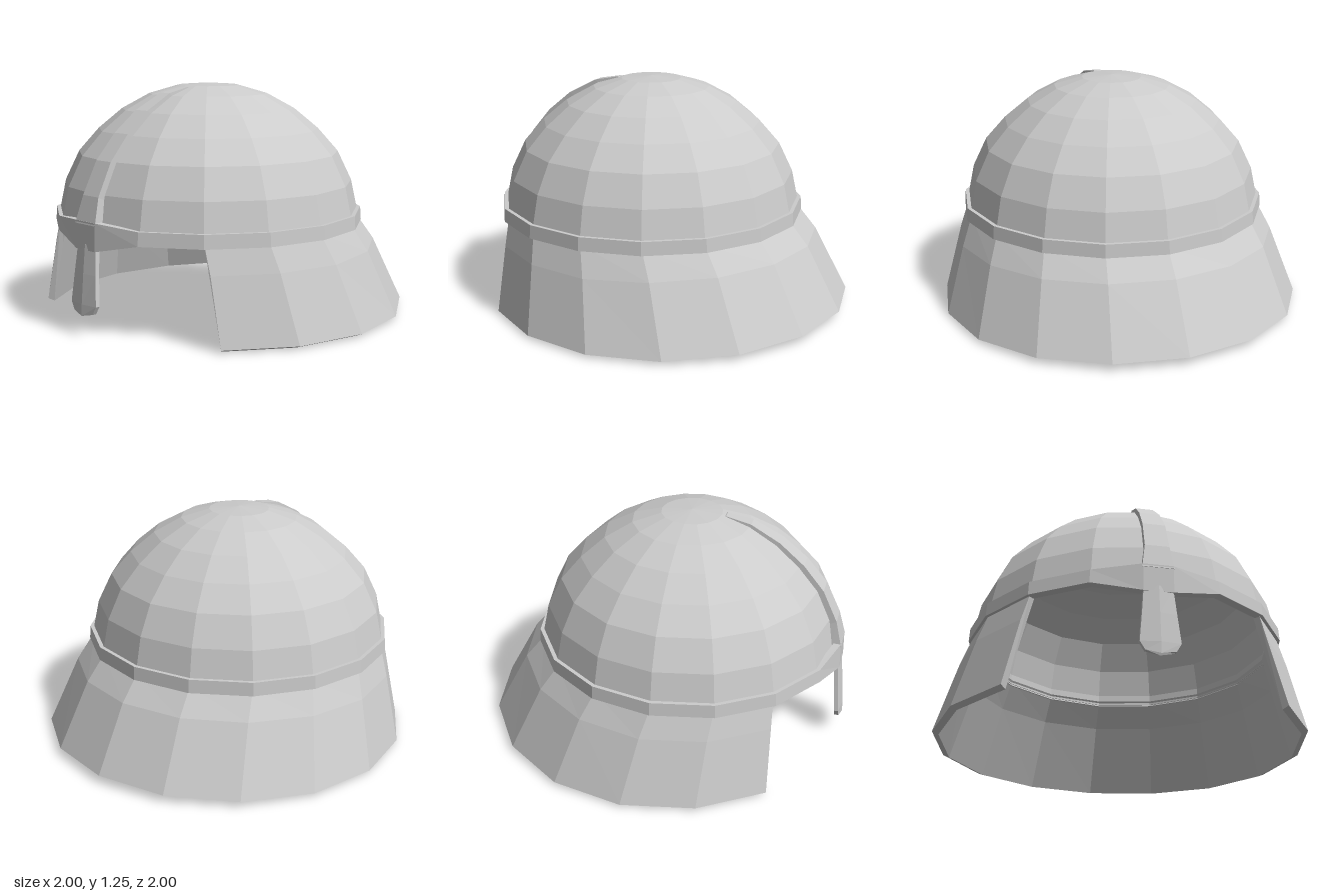
import * as THREE from 'three';

const DOME_Z = 0.115;
const steel = new THREE.MeshStandardMaterial({ color: 0xcccccc, flatShading: true, side: THREE.DoubleSide });

// Skins a row of equal cross-section loops; an open row gets end caps.
function sweep(sections, closed = false) {
  const pos = [];
  const n = sections[0].length;
  const tri = (...pts) => pts.forEach((p) => pos.push(...p));
  const last = closed ? sections.length : sections.length - 1;
  for (let i = 0; i < last; i++) {
    const s = sections[i];
    const t = sections[(i + 1) % sections.length];
    for (let j = 0; j < n; j++) {
      const k = (j + 1) % n;
      tri(s[j], s[k], t[k]);
      tri(s[j], t[k], t[j]);
    }
  }
  if (!closed) {
    const s = sections[0];
    const t = sections[sections.length - 1];
    for (let j = 1; j < n - 1; j++) {
      tri(s[0], s[j + 1], s[j]);
      tri(t[0], t[j], t[j + 1]);
    }
  }
  const g = new THREE.BufferGeometry();
  g.setAttribute('position', new THREE.Float32BufferAttribute(pos, 3));
  g.computeVertexNormals();
  return g;
}

// Point on a circle around the vertical axis; angle 0 faces the front.
const polar = (r, y, a, cz = DOME_Z) => [r * Math.sin(a), y, cz + r * Math.cos(a)];

// Dome outline, from the rim to the crown: radius, height
const OUTLINE = [
  [0.82, 0.5], [0.82, 0.56], [0.787, 0.715], [0.71, 0.875], [0.6, 1.0],
  [0.47, 1.108], [0.32, 1.19], [0.165, 1.235], [0, 1.247],
];

function domeGeometry() {
  const outer = OUTLINE.map(([r, y]) => new THREE.Vector2(r, y));
  const inner = OUTLINE.map(([r, y]) => new THREE.Vector2(r * 0.965, 0.5 + (y - 0.5) * 0.965)).reverse();
  const g = new THREE.LatheGeometry([...outer, ...inner, outer[0].clone()], 16);
  g.translate(0, 0, DOME_Z);
  return g;
}

// Brow band: a 16-sided ring that grows taller where it meets the nose guard
function bandGeometry() {
  const centre = (x) => [
    [x, 0.585, 0.965], [x, 0.44, 0.968], [x, 0.44, 0.925], [x, 0.585, 0.925],
  ];
  const sections = [centre(-0.075), centre(0.075)];
  for (let i = 1; i < 16; i++) {
    const a = (i * Math.PI) / 8;
    sections.push([
      polar(0.84, 0.565, a), polar(0.845, 0.493, a), polar(0.795, 0.493, a), polar(0.805, 0.565, a),
    ]);
  }
  return sweep(sections, true);
}

// Flared guard around the sides and back, open at the front
function neckGuardGeometry() {
  const sections = [];
  for (let i = 2; i <= 14; i++) {
    const a = (i * Math.PI) / 8;
    const back = Math.max(0, -Math.cos(a));
    const midY = 0.365 + 0.025 * back;
    const lowY = 0.015 + 0.03 * back * back;
    sections.push([
      polar(0.82, 0.52, a),
      polar(0.885, midY, a, 0.07),
      polar(1, lowY, a, -0.003),
      polar(0.965, lowY - 0.015, a, -0.003),
      polar(0.845, midY - 0.01, a, 0.07),
      polar(0.785, 0.52, a),
    ]);
  }
  return sweep(sections);
}

// Raised strip over the front of the dome, tapering towards the crown
function ridgeGeometry() {
  // half width, height, outer depth, inner depth
  const rows = [
    [0.08, 0.57, 0.967, 0.91], [0.062, 0.71, 0.93, 0.88], [0.058, 0.88, 0.848, 0.8],
    [0.053, 1.012, 0.735, 0.69], [0.046, 1.122, 0.6, 0.56], [0.036, 1.205, 0.44, 0.41],
    [0.025, 1.232, 0.3, 0.27],
  ];
  return sweep(rows.map(([w, y, zo, zi]) => {
    const x = 0.015 * Math.max(0, (y - 0.57) / 0.66);
    return [[x - w, y, zo], [x + w, y, zo], [x + w, y - 0.025, zi], [x - w, y - 0.025, zi]];
  }));
}

// Nose guard: a slightly bowed bar with a rounded lower end
function noseGuardGeometry() {
  // half width, edge height, centre height, front depth
  const rows = [
    [0.075, 0.122, 0.105, 0.999], [0.1, 0.165, 0.165, 0.997],
    [0.085, 0.32, 0.32, 0.984], [0.072, 0.47, 0.47, 0.969],
  ];
  return sweep(rows.map(([w, ye, yc, z]) => [
    [-w, ye, z - 0.012], [0, yc, z], [w, ye, z - 0.012],
    [w, ye, z - 0.035], [0, yc, z - 0.03], [-w, ye, z - 0.035],
  ]));
}

export function createModel() {
  const helmet = new THREE.Group();
  helmet.name = 'helmet';
  const parts = {
    dome: domeGeometry(),
    browBand: bandGeometry(),
    neckGuard: neckGuardGeometry(),
    frontRidge: ridgeGeometry(),
    noseGuard: noseGuardGeometry(),
  };
  for (const [name, geometry] of Object.entries(parts)) {
    const mesh = new THREE.Mesh(geometry, steel);
    mesh.name = name;
    helmet.add(mesh);
  }
  return helmet;
}
